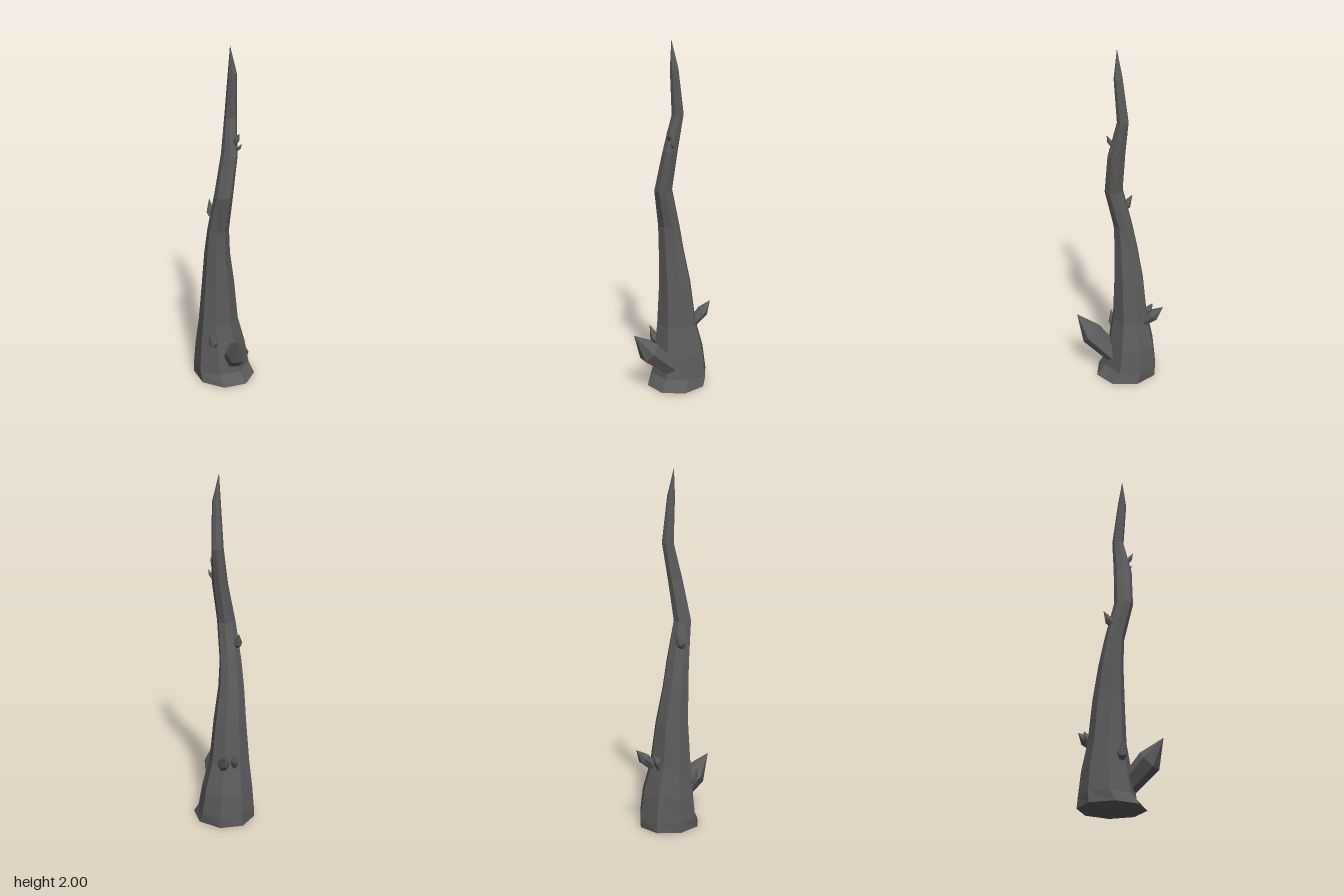
import * as THREE from 'three';

const bark = new THREE.MeshStandardMaterial({ color: 0x5c5c5c, flatShading: true });

// Closed faceted skin over rings of [x, y, z] points, capped at both ends
function skin(rings) {
  const n = rings[0].length, pos = [];
  const tri = (a, b, c) => pos.push(...a, ...b, ...c);
  for (let r = 0; r < rings.length - 1; r++) {
    for (let i = 0; i < n; i++) {
      const j = (i + 1) % n, lo = rings[r], hi = rings[r + 1];
      tri(lo[i], hi[i], hi[j]);
      tri(lo[i], hi[j], lo[j]);
    }
  }
  const last = rings[rings.length - 1];
  for (let i = 1; i < n - 1; i++) {
    tri(rings[0][0], rings[0][i], rings[0][i + 1]);
    tri(last[0], last[i + 1], last[i]);
  }
  const g = new THREE.BufferGeometry();
  g.setAttribute('position', new THREE.Float32BufferAttribute(pos, 3));
  g.computeVertexNormals();
  return g;
}

// Eight-sided trunk: height, x range, z range at each bend
function trunk() {
  const sections = [
    [0, -0.22, 0.15, -0.172, 0.172],
    [0.06, -0.215, 0.095, -0.17, 0.167],
    [0.2, -0.2, 0.07, -0.15, 0.155],
    [0.36, -0.168, 0.04, -0.105, 0.14],
    [0.6, -0.145, 0.03, -0.073, 0.122],
    [0.8, -0.115, 0.022, -0.035, 0.118],
    [0.95, -0.085, 0.025, -0.018, 0.115],
    [1.17, -0.032, 0.075, 0.005, 0.107],
    [1.4, -0.03, 0.073, -0.028, 0.052],
    [1.6, -0.036, 0.03, -0.056, 0.014],
    [1.85, -0.005, 0.045, -0.035, 0.012],
    [2, 0.019, 0.021, 0.004, 0.006],
  ];
  return skin(sections.map(([y, x0, x1, z0, z1]) =>
    Array.from({ length: 8 }, (_, i) => {
      const a = i * Math.PI / 4;
      return [(x0 + x1) / 2 + Math.cos(a) * (x1 - x0) / 2, y,
        (z0 + z1) / 2 + Math.sin(a) * (z1 - z0) / 2];
    })));
}

// Pointed stub: a six-sided shaft from root to shoulder, then to the tip
function thorn(root, shoulder, tip, radius) {
  const path = [root, shoulder, tip].map(p => new THREE.Vector3(...p));
  const dir = path[1].clone().sub(path[0]).normalize();
  const u = new THREE.Vector3(0, 1, 0).cross(dir).normalize();
  const v = u.clone().cross(dir);
  const radii = [radius * 0.8, radius, 0.001];
  return skin(path.map((c, k) => Array.from({ length: 6 }, (_, i) => {
    const a = i * Math.PI / 3;
    return c.clone().addScaledVector(u, Math.cos(a) * radii[k])
      .addScaledVector(v, Math.sin(a) * radii[k]).toArray();
  })));
}

export function createModel() {
  const group = new THREE.Group();
  const add = (name, geometry) => {
    const mesh = new THREE.Mesh(geometry, bark);
    mesh.name = name;
    group.add(mesh);
  };
  add('trunk', trunk());

  // Broken branch and small twigs
  const stubs = [
    ['largeBranch', [0.04, 0.12, 0], [0.155, 0.245, 0.08], [0.222, 0.355, 0.137], 0.068],
    ['rearTwig', [-0.12, 0.355, -0.065], [-0.168, 0.41, -0.1], [-0.21, 0.465, -0.126], 0.034],
    ['sideTwig', [-0.145, 0.35, -0.01], [-0.168, 0.4, -0.02], [-0.185, 0.44, -0.03], 0.022],
    ['frontTwig', [0, 0.23, 0.085], [0.004, 0.27, 0.13], [0.006, 0.335, 0.155], 0.027],
    ['middleTwig', [-0.025, 1.02, 0.08], [-0.066, 1.06, 0.075], [-0.09, 1.12, 0.06], 0.024],
    ['upperTwig', [0.045, 1.46, 0], [0.066, 1.495, -0.002], [0.082, 1.53, -0.005], 0.014],
    ['upperTwigSmall', [0.05, 1.425, -0.018], [0.066, 1.443, -0.022], [0.077, 1.465, -0.026], 0.009],
  ];
  for (const [name, root, shoulder, tip, radius] of stubs) {
    add(name, thorn(root, shoulder, tip, radius));
  }
  return group;
}
